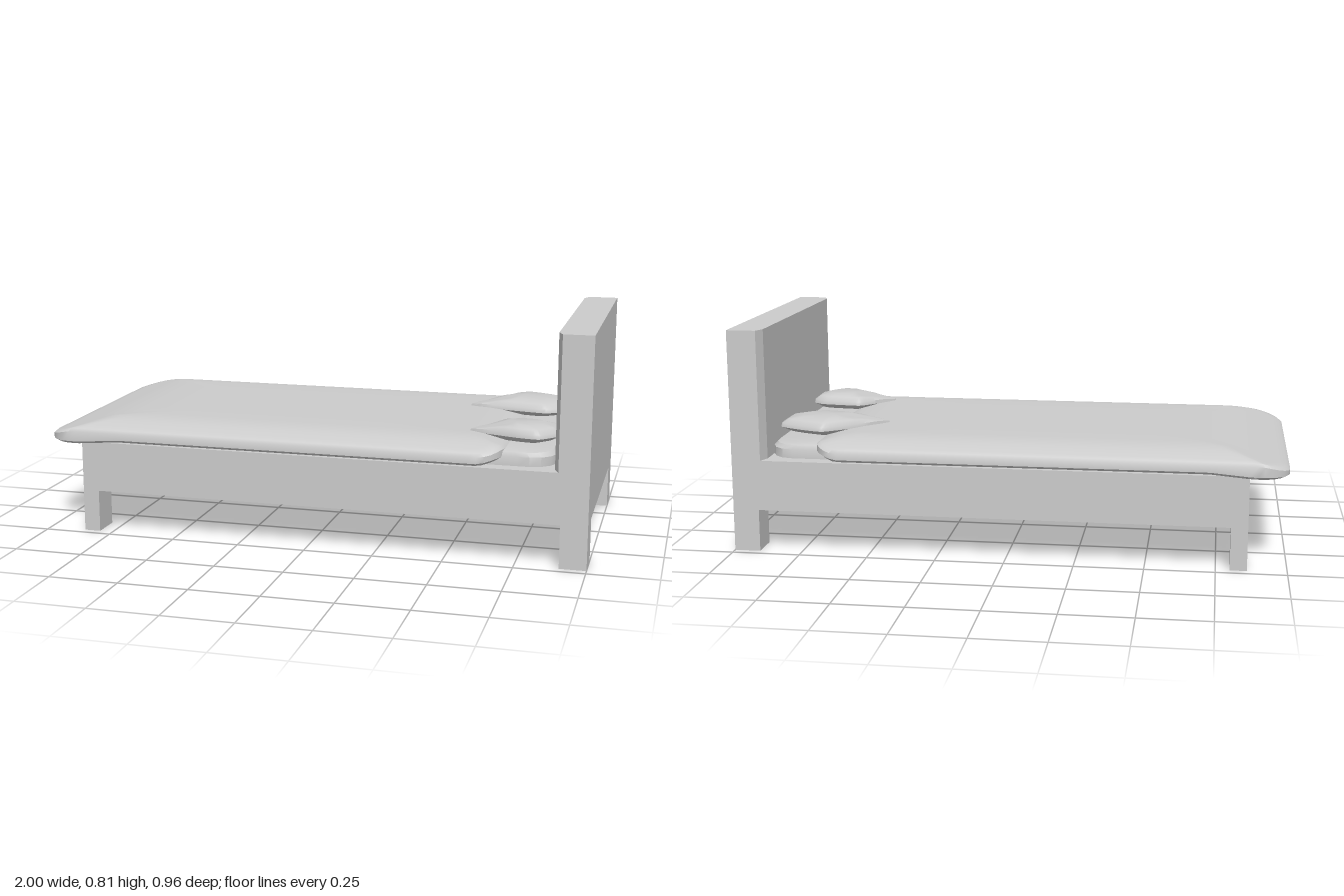
import * as THREE from 'three';
import { toCreasedNormals } from 'three/addons/utils/BufferGeometryUtils.js';

const material = new THREE.MeshStandardMaterial({ color: 0xcccccc });
const clamp = THREE.MathUtils.clamp;

function add(group, name, geometry) {
  const mesh = new THREE.Mesh(geometry, material);
  mesh.name = name;
  group.add(mesh);
  return mesh;
}

// Box given by its limits on each axis
function box(group, name, x0, x1, y0, y1, z0, z1) {
  add(group, name, new THREE.BoxGeometry(x1 - x0, y1 - y0, z1 - z0))
    .position.set((x0 + x1) / 2, (y0 + y1) / 2, (z0 + z1) / 2);
}

// Rounded rectangle outline, evenly sampled, counter-clockwise from above
function roundedOutline(x0, x1, halfZ, r, count) {
  const s = new THREE.Shape();
  s.moveTo(x0 + r, -halfZ);
  s.lineTo(x1 - r, -halfZ);
  s.absarc(x1 - r, -halfZ + r, r, -Math.PI / 2, 0);
  s.absarc(x1 - r, halfZ - r, r, 0, Math.PI / 2);
  s.absarc(x0 + r, halfZ - r, r, Math.PI / 2, Math.PI);
  s.absarc(x0 + r, -halfZ + r, r, Math.PI, Math.PI * 1.5);
  s.closePath();
  return s.getSpacedPoints(count).slice(0, count).map((p) => [p.x, -p.y]);
}

// Stack scaled copies of an outline from bottom to top; height(x, z, level) sets y
function loft(outline, scales, height, crease) {
  const n = outline.length;
  const xs = outline.map((p) => p[0]);
  const zs = outline.map((p) => p[1]);
  const cx = (Math.min(...xs) + Math.max(...xs)) / 2;
  const cz = (Math.min(...zs) + Math.max(...zs)) / 2;
  const pos = [];
  const index = [];
  scales.forEach((s, i) => outline.forEach(([px, pz], j) => {
    const x = cx + (px - cx) * s;
    const z = cz + (pz - cz) * s;
    pos.push(x, height(x, z, i), z);
    if (i === 0) return;
    const a = (i - 1) * n + j, b = (i - 1) * n + (j + 1) % n;
    if (scales[i - 1] > 0) index.push(a, b, b + n);
    if (s > 0) index.push(a, b + n, a + n);
  }));
  const g = new THREE.BufferGeometry();
  g.setAttribute('position', new THREE.Float32BufferAttribute(pos, 3));
  g.setIndex(index);
  return toCreasedNormals(g, crease);
}

export function createModel() {
  const bed = new THREE.Group();
  bed.name = 'bed';

  // Frame and legs
  box(bed, 'frame', -0.86, 0.9, 0.155, 0.34, -0.47, 0.47);
  for (const [side, z0, z1] of [['left', 0.36, 0.47], ['right', -0.47, -0.36]]) {
    box(bed, side + 'FootLeg', -0.86, -0.8, 0, 0.155, z0, z1);
    box(bed, side + 'HeadLeg', 0.905, 1, 0, 0.155, z0, z1);
  }

  // Headboard with slightly chamfered front corners
  const plan = new THREE.Shape([
    [1, -0.47], [1, 0.47], [0.893, 0.47], [0.877, 0.43], [0.877, -0.43], [0.893, -0.47],
  ].map(([x, y]) => new THREE.Vector2(x, y)));
  const board = new THREE.ExtrudeGeometry(plan, { depth: 0.66, bevelEnabled: false });
  board.rotateX(-Math.PI / 2).translate(0, 0.155, 0);
  add(bed, 'headboard', board);

  // Mattress with softened top edge
  const mattressY = [0.335, 0.342, 0.375, 0.39, 0.395, 0.395];
  add(bed, 'mattress', loft(roundedOutline(-0.83, 0.875, 0.425, 0.09, 120),
    [0, 1, 1, 0.985, 0.95, 0], (x, z, i) => mattressY[i], 0.6));

  // Duvet: crowned in the middle, drooping past the foot end
  const duvetTop = (x, z) => {
    const t = clamp((0.478 - Math.abs(z)) / 0.16, 0, 1);
    return Math.min(0.385 + 0.04 * t * (2 - t), 0.363 + 0.26 * (x + 1), 0.403 + 0.22 * (0.7 - x));
  };
  const duvetBottom = (x) => 0.345 - 0.013 * clamp((-0.72 - x) / 0.15, 0, 1)
    + 0.022 * clamp((x - 0.62) / 0.08, 0, 1);
  const duvetScales = [0, 0.5, 0.985, 1, 1, 0.985, 0.95, 0.9, 0.84, 0.77, 0.65, 0.4, 0];
  add(bed, 'duvet', loft(roundedOutline(-1, 0.7, 0.478, 0.09, 200), duvetScales,
    (x, z, i) => {
      if (i < 3) return duvetBottom(x);
      if (i === 3) return duvetBottom(x) + 0.008;
      return duvetTop(x, z) - (i === 4 ? 0.008 : 0);
    }, 0.7));

  // Pillows, each with a pointed corner lying over the duvet
  const pillows = {
    rightPillow: [[0.485, -0.14], [0.62, -0.105], [0.78, -0.08], [0.875, -0.15],
      [0.875, -0.26], [0.8, -0.3], [0.7, -0.33], [0.6, -0.255]],
    leftPillow: [[0.555, 0.28], [0.73, 0.34], [0.81, 0.35], [0.875, 0.28],
      [0.875, 0.2], [0.83, 0.17], [0.68, 0.155], [0.62, 0.21]],
  };
  const pillowY = [0.403, 0.405, 0.422, 0.436, 0.452, 0.462, 0.466];
  for (const [name, corners] of Object.entries(pillows)) {
    const curve = new THREE.CatmullRomCurve3(
      corners.map(([x, z]) => new THREE.Vector3(x, 0, z)), true, 'catmullrom', 0.2);
    const outline = curve.getPoints(48).slice(0, 48).map((p) => [p.x, p.z]);
    const tip = corners[0][0];
    add(bed, name, loft(outline, [0, 0.8, 1, 0.98, 0.85, 0.6, 0],
      (x, z, i) => Math.min(pillowY[i], 0.43 + 0.19 * Math.max(x - tip, 0)), 0.8));
  }
  return bed;
}
